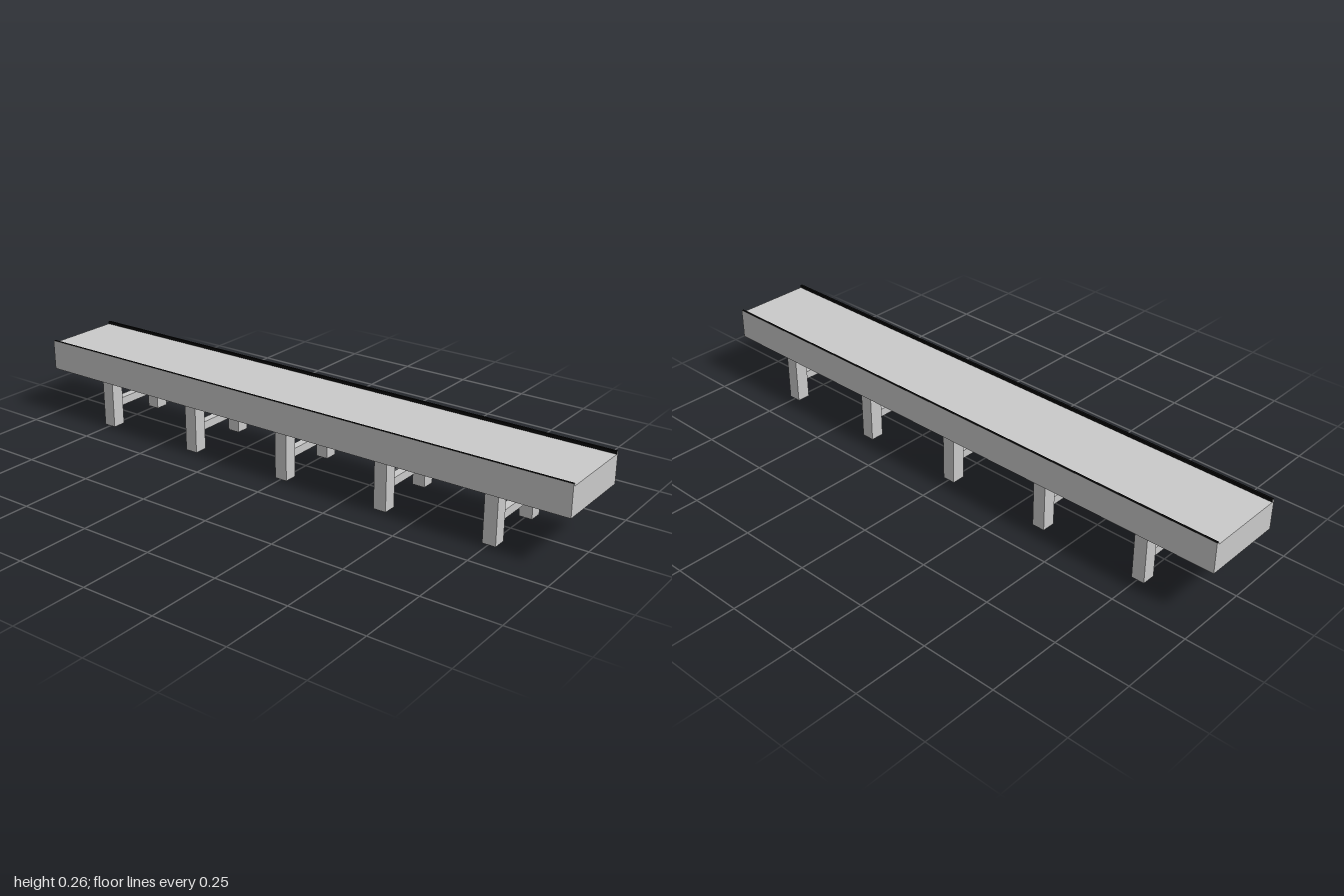
import * as THREE from 'three';

export function createModel() {
  const model = new THREE.Group();
  model.name = 'raisedWalkway';

  const concrete = new THREE.MeshStandardMaterial({ color: 0xcacaca });
  concrete.name = 'concrete grey';
  const black = new THREE.MeshStandardMaterial({ color: 0x060606 });
  black.name = 'trim black';

  // Box spanning w, h, d, centred on x and z, standing on y
  function box(name, w, h, d, x, y, z, material, parent = model) {
    const mesh = new THREE.Mesh(new THREE.BoxGeometry(w, h, d), material);
    mesh.name = name;
    mesh.position.set(x, y + h / 2, z);
    parent.add(mesh);
    return mesh;
  }

  // Box face order: +x, -x, +y, -y, +z, -z
  const darkBelow = [concrete, concrete, concrete, black, concrete, concrete];

  // Deck slab with dark underside
  box('deck', 2, 0.095, 0.28, 0, 0.16, 0, darkBelow);

  // Low curbs along both long edges, dark on the top and inner face
  for (const side of [1, -1]) {
    const faces = [concrete, concrete, black, concrete, concrete, concrete];
    faces[side > 0 ? 5 : 4] = black;
    box(side > 0 ? 'frontCurb' : 'backCurb', 2, 0.009, 0.008, 0, 0.255, side * 0.136, faces);
  }

  // Five supports: two square legs joined by a crossbar
  for (let i = -2; i <= 2; i++) {
    const support = new THREE.Group();
    support.name = 'support';
    support.position.x = i * 0.376;
    model.add(support);
    for (const side of [1, -1]) {
      box(side > 0 ? 'frontLeg' : 'backLeg', 0.044, 0.16, 0.046, 0, 0, side * 0.11, darkBelow, support);
    }
    box('crossbar', 0.027, 0.028, 0.176, 0, 0.063, 0, concrete, support);
  }

  return model;
}
